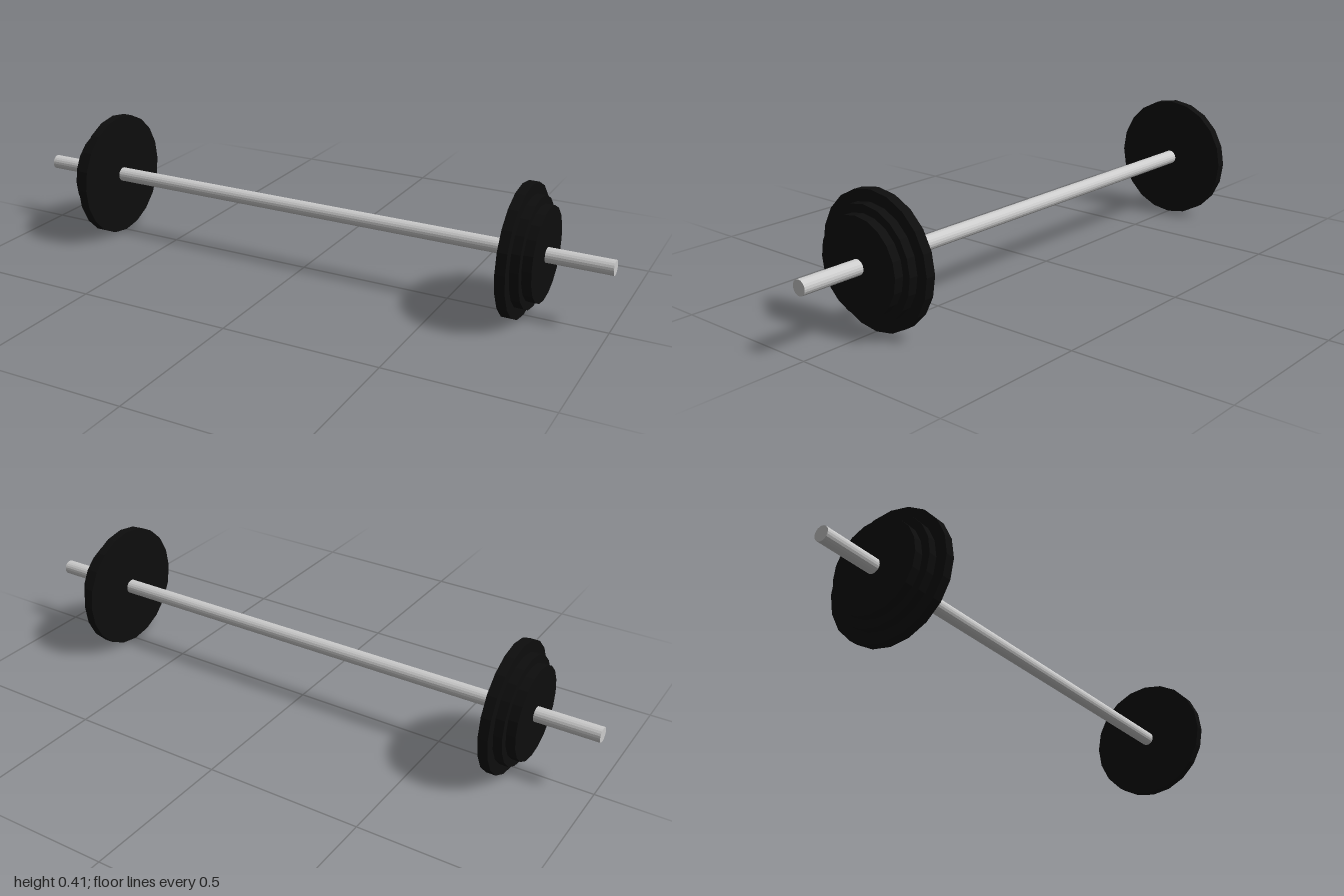
import * as THREE from 'three';

export function createModel() {
  const group = new THREE.Group();
  const steel = new THREE.MeshStandardMaterial({ color: 0xcccccc });
  steel.name = 'steel';
  const iron = new THREE.MeshStandardMaterial({ color: 0x0d0d0d });
  iron.name = 'blackIron';

  const SIDES = 20;
  const AXIS_Y = 0.206;

  // 20-sided cylinder lying along x, from x0 to x1
  function rod(name, radius, x0, x1, material) {
    const geometry = new THREE.CylinderGeometry(radius, radius, x1 - x0, SIDES).toNonIndexed();
    geometry.rotateZ(Math.PI / 2);
    geometry.computeVertexNormals(); // faceted sides
    const mesh = new THREE.Mesh(geometry, material);
    mesh.name = name;
    mesh.position.set((x0 + x1) / 2, AXIS_Y, 0);
    return mesh;
  }

  // Bar
  group.add(rod('bar', 0.0235, -1, 1, steel));

  // Stacked plates, largest on the inside: [name, radius, inner x, outer x]
  const plates = [
    ['largePlate', 0.206, 0.712, 0.743],
    ['mediumPlate', 0.171, 0.743, 0.771],
    ['smallPlate', 0.146, 0.771, 0.8],
  ];
  for (const side of [1, -1]) {
    const stack = new THREE.Group();
    stack.name = side > 0 ? 'leftPlates' : 'rightPlates';
    for (const [name, radius, inner, outer] of plates) {
      const ends = side > 0 ? [inner, outer] : [-outer, -inner];
      stack.add(rod(name, radius, ...ends, iron));
    }
    group.add(stack);
  }
  return group;
}
